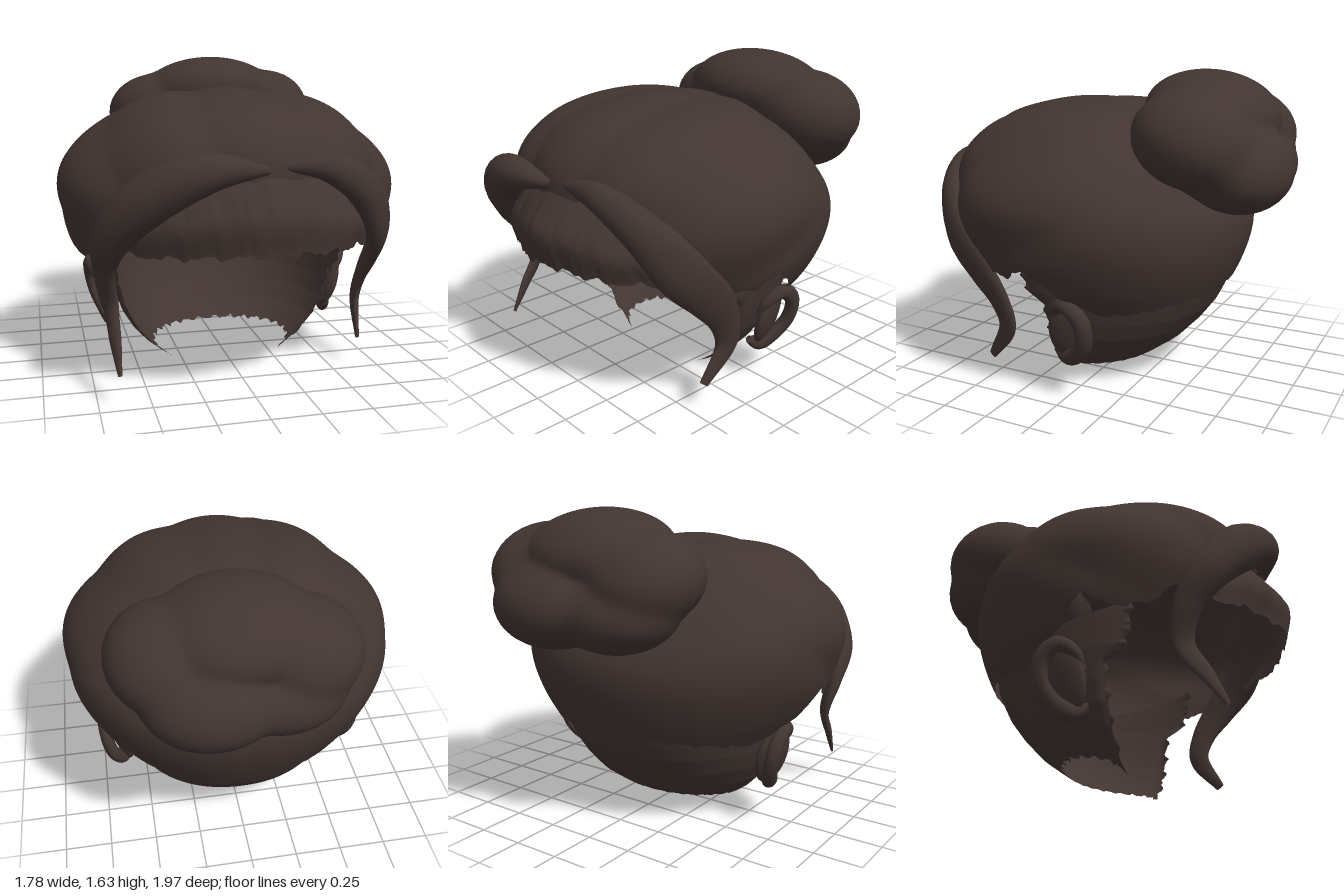
import * as THREE from 'three';
import { ParametricGeometry } from 'three/addons/geometries/ParametricGeometry.js';

const hair = new THREE.MeshStandardMaterial({ color: 0x423531, side: THREE.DoubleSide });

function add(parent, name, geometry) {
  const mesh = new THREE.Mesh(geometry, hair);
  mesh.name = name;
  parent.add(mesh);
  return mesh;
}

// Curve through rows of [key, ...values]
function table(rows, smooth) {
  const n = rows[0].length - 1;
  const Type = smooth ? THREE.CubicInterpolant : THREE.LinearInterpolant;
  const curve = new Type(rows.map(r => r[0]), rows.flatMap(r => r.slice(1)), n, new Float64Array(n));
  return k => curve.evaluate(k);
}

// Uneven, torn-looking edge
const ragged = a => 0.5 * Math.sin(a * 31) + 0.3 * Math.sin(a * 57 + 1) + 0.2 * Math.sin(a * 97);

// Point of a head-like shell: angle a is 0 at the front and grows towards +x
const ZC = 0.1;
function ringPoint(a, y, [w, f, b], out) {
  const c = Math.cos(a), s = Math.sin(a);
  const round = p => Math.sign(p) * Math.abs(p) ** 0.94;
  return out.set(w * round(s), y, ZC + (c > 0 ? f - ZC : ZC - b) * round(c));
}

// Swept lock of hair: flat oval section, rows are [x, y, z, half width, half thickness]
function lockGeometry(rows) {
  const curve = new THREE.CatmullRomCurve3(rows.map(r => new THREE.Vector3(r[0], r[1], r[2])));
  const size = table(rows.map((r, i) => [i / (rows.length - 1), r[3], r[4]]), true);
  const side = new THREE.Vector3(), out = new THREE.Vector3();
  return new ParametricGeometry((u, v, target) => {
    const t = THREE.MathUtils.clamp(v, 0, 1);
    const p = curve.getPoint(t), tangent = curve.getTangent(t);
    out.set(p.x, 0.3 * (p.y - 0.7), p.z - ZC).normalize();
    side.crossVectors(tangent, out).normalize();
    out.crossVectors(side, tangent).normalize();
    const [w, d] = size(t), a = u * Math.PI * 2;
    target.copy(p).addScaledVector(side, w * Math.cos(a)).addScaledVector(out, d * Math.sin(a));
  }, 20, 56);
}

// Swept-back hair: rings whose lower edge follows the hairline, with grooves running to the bun
function capGeometry() {
  const TOP = 1.49;
  const profile = table([
    [1.49, 0, 0.15, 0.15], [1.45, 0.4, 0.47, -0.18], [1.4, 0.54, 0.64, -0.27], [1.3, 0.69, 0.78, -0.4],
    [1.2, 0.795, 0.845, -0.5], [1.1, 0.865, 0.865, -0.58], [1.0, 0.895, 0.865, -0.65], [0.9, 0.89, 0.845, -0.69],
    [0.8, 0.865, 0.81, -0.695], [0.7, 0.825, 0.76, -0.675], [0.6, 0.77, 0.7, -0.64], [0.45, 0.66, 0.6, -0.57],
  ].map(([y, ...v]) => [Math.sqrt(TOP - y), ...v]), true);
  const hairline = table([
    [0, 1.1], [0.5, 1.08], [0.8, 0.84], [1.1, 0.68], [1.35, 0.66], [1.55, 0.73],
    [1.75, 0.57], [2, 0.48], [2.6, 0.52], [3.15, 0.55],
  ], false);
  const middle = new THREE.Vector3(0, 0.9, ZC);
  return new ParametricGeometry((u, v, target) => {
    const a = (u - 0.5) * 2 * Math.PI, t = THREE.MathUtils.clamp(v, 0, 1);
    const edge = hairline(Math.min(Math.abs(a), Math.PI))[0] + 0.015 * ragged(a);
    const y = TOP - (TOP - edge) * t * t;
    ringPoint(a, y, profile(Math.sqrt(TOP - y)), target);
    // angle about the axis from the bun to the forehead
    const up = (target.y - 0.85) * 0.86 + (target.z - 0.1) * 0.5;
    const turn = Math.atan2(target.x, up);
    const fade = THREE.MathUtils.smoothstep(target.z, -0.5, 0.2) * THREE.MathUtils.smoothstep(y, 0.6, 0.9);
    const groove = 0.035 * fade * (Math.sqrt(Math.cos(turn * 5) ** 2 + 0.03) - 0.9);
    target.sub(middle).multiplyScalar(1 + groove).add(middle);
  }, 200, 60);
}

// Short hair on the nape and sideburns, open at the face
function napeGeometry() {
  const profile = table([
    [0, 0.25, 0.27, -0.04], [0.06, 0.35, 0.27, -0.16], [0.12, 0.43, 0.27, -0.25], [0.2, 0.505, 0.27, -0.36],
    [0.3, 0.565, 0.27, -0.455], [0.4, 0.6, 0.27, -0.53], [0.48, 0.62, 0.3, -0.57], [0.55, 0.635, 0.58, -0.6],
    [0.7, 0.65, 0.68, -0.62], [0.85, 0.66, 0.68, -0.62],
  ], false);
  return new ParametricGeometry((u, v, target) => {
    const a = Math.PI + (u - 0.5) * 2 * (Math.PI - 1.25);
    const front = Math.abs(u - 0.5) * 2;
    const low = 0.11 - 0.08 * front ** 4 + 0.012 * ragged(a);
    const y = THREE.MathUtils.lerp(low, 0.59 + 0.18 * front ** 2, v);
    ringPoint(a, y, profile(y), target);
    if (front > 0.97) target.z += 0.02 * ragged(y * 2);
  }, 96, 44);
}

// Short fringe over the forehead with a torn lower edge
function fringeGeometry() {
  const depth = table([[0, 0.82], [0.25, 0.9], [0.55, 0.97], [1, 0.95]], true);
  return new ParametricGeometry((u, v, target) => {
    const x = (u - 0.5) * 1.2;
    const low = 0.77 + 0.02 * ragged(x * 1.3) - 0.06 * Math.abs(x);
    const y = THREE.MathUtils.lerp(1.14 - 0.5 * x * x, low, v);
    const wave = 0.01 * Math.sin(x * 15 + v * 2);
    target.set(x, y, depth(THREE.MathUtils.clamp(v, 0, 1))[0] - 0.85 * x * x + wave);
  }, 90, 24);
}

// Bun: soft union of rolls, [centre, radii, backward tilt], found along rays from its middle
function bunGeometry() {
  const rolls = [
    [[0.06, 1.44, -0.535], [0.4, 0.21, 0.335], 0.15],
    [[-0.25, 1.33, -0.59], [0.29, 0.22, 0.29], 0.25],
    [[0.4, 1.34, -0.56], [0.28, 0.23, 0.3], 0.25],
    [[0.2, 1.2, -0.72], [0.34, 0.225, 0.27], 0.2],
    [[-0.13, 1.18, -0.66], [0.33, 0.2, 0.26], 0.2],
    [[0.06, 1.25, -0.52], [0.43, 0.24, 0.28], 0.6],
  ];
  const field = p => rolls.reduce((sum, [c, r, tilt]) => {
    const y = p.y - c[1], z = p.z - c[2], cs = Math.cos(tilt), sn = Math.sin(tilt);
    const e = Math.hypot((p.x - c[0]) / r[0], (y * cs - z * sn) / r[1], (y * sn + z * cs) / r[2]);
    return sum + Math.exp(-22 * (e - 1));
  }, 0);
  const middle = new THREE.Vector3(0.07, 1.32, -0.58);
  const geometry = new THREE.SphereGeometry(1, 72, 48);
  const position = geometry.attributes.position;
  const d = new THREE.Vector3(), p = new THREE.Vector3();
  for (let i = 0; i < position.count; i++) {
    d.fromBufferAttribute(position, i);
    const inside = t => field(p.copy(middle).addScaledVector(d, t)) > 1;
    let far = 0.8;
    while (far > 0.05 && !inside(far - 0.02)) far -= 0.02;
    let near = far - 0.02;
    for (let k = 0; k < 12; k++) {
      const half = (near + far) / 2;
      if (inside(half)) near = half; else far = half;
    }
    p.copy(middle).addScaledVector(d, near);
    position.setXYZ(i, p.x, p.y, p.z);
  }
  geometry.computeVertexNormals();
  return geometry;
}

export function createModel() {
  const model = new THREE.Group();
  model.name = 'updoHair';

  add(model, 'hairCap', capGeometry());
  add(model, 'napeHair', napeGeometry());
  add(model, 'foreheadFringe', fringeGeometry());
  add(model, 'bun', bunGeometry());

  // Swept bangs that end in long face-framing strands
  add(model, 'rightBang', lockGeometry([
    [0.02, 1.14, 0.86, 0.02, 0.02], [-0.26, 1.14, 0.89, 0.09, 0.09], [-0.5, 1.03, 0.81, 0.12, 0.11],
    [-0.67, 0.83, 0.68, 0.1, 0.09], [-0.7, 0.65, 0.58, 0.07, 0.045], [-0.67, 0.48, 0.55, 0.055, 0.025],
    [-0.66, 0.33, 0.64, 0.04, 0.02], [-0.65, 0.18, 0.73, 0.012, 0.008],
  ]));
  add(model, 'leftBang', lockGeometry([
    [0.1, 1.15, 0.83, 0.02, 0.02], [0.32, 1.14, 0.81, 0.07, 0.06], [0.53, 1.02, 0.74, 0.1, 0.07],
    [0.67, 0.82, 0.61, 0.13, 0.06], [0.71, 0.65, 0.46, 0.11, 0.04], [0.7, 0.5, 0.36, 0.08, 0.03],
    [0.68, 0.36, 0.33, 0.06, 0.025], [0.65, 0.17, 0.45, 0.025, 0.01],
  ]));

  // Ears: shallow bowl inside a curled rim that runs down into the lobe
  const rimRows = [
    [0.65, 0.42, 0.07, 0.015, 0.015], [0.69, 0.5, 0.04, 0.03, 0.03], [0.72, 0.54, -0.04, 0.04, 0.035],
    [0.715, 0.47, -0.12, 0.045, 0.035], [0.69, 0.36, -0.125, 0.045, 0.035], [0.65, 0.27, -0.07, 0.045, 0.035],
    [0.62, 0.23, 0.01, 0.045, 0.035], [0.6, 0.26, 0.08, 0.02, 0.02],
  ];
  const bowlGeometry = new THREE.SphereGeometry(1, 32, 20);
  [1, -1].forEach(s => {
    const ear = new THREE.Group();
    ear.name = s > 0 ? 'leftEar' : 'rightEar';
    model.add(ear);
    add(ear, 'earRim', lockGeometry(rimRows.map(([x, ...rest]) => [s * x, ...rest])));
    const bowl = add(ear, 'earBowl', bowlGeometry);
    bowl.position.set(s * 0.64, 0.38, -0.02);
    bowl.rotation.set(0, s * 0.3, s * -0.25);
    bowl.scale.set(0.04, 0.17, 0.11);
  });

  return model;
}
